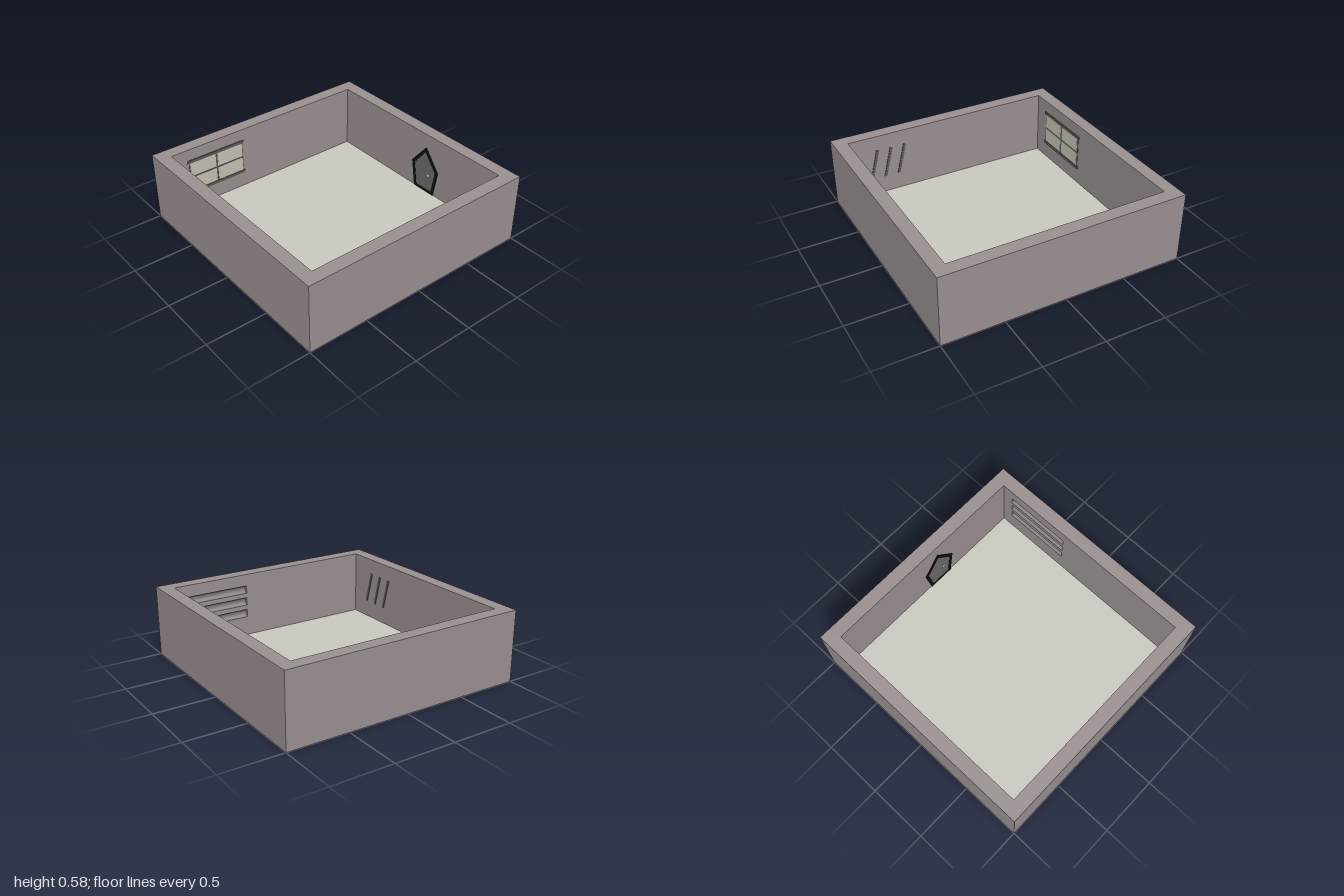
import * as THREE from 'three';

const H = 0.58, IN = 0.89, FLOOR = 0.044, T = 0.006;
const mat = (color) => new THREE.MeshStandardMaterial({ color, flatShading: true });
const wallMat = mat(0x998f8f), floorMat = mat(0xc8c8c0), frameMat = mat(0x5c5a58);
const paneMat = mat(0xc4c0b4), blackMat = mat(0x101010), doorMat = mat(0x686866);
const grooveMat = new THREE.MeshStandardMaterial({ color: 0x858080, side: THREE.DoubleSide });

function add(parent, name, geometry, material, x = 0, y = 0, z = 0) {
  const mesh = new THREE.Mesh(geometry, material);
  mesh.name = name;
  mesh.position.set(x, y, z);
  parent.add(mesh);
  return mesh;
}

const polygon = (points) => new THREE.Shape(points.map(([x, y]) => new THREE.Vector2(x, y)));
const rect = (x0, y0, x1, y1) => polygon([[x0, y0], [x1, y0], [x1, y1], [x0, y1]]);
const extrude = (shape, depth) => new THREE.ExtrudeGeometry(shape, { depth, bevelEnabled: false });

function group(parent, name, x, z, turn) {
  const g = new THREE.Group();
  g.name = name;
  g.position.set(x, 0, z);
  g.rotation.y = turn;
  parent.add(g);
  return g;
}

export function createModel() {
  const model = new THREE.Group();
  model.name = 'room';

  // Outer walls; the front one is thinner to take the grooved panel
  const ring = rect(-1, -1, 1, 1);
  ring.holes.push(rect(-IN, -0.92, IN, IN));
  add(model, 'walls', extrude(ring, H).rotateX(-Math.PI / 2), wallMat);
  add(model, 'base', new THREE.BoxGeometry(1.9, 0.02, 1.9), wallMat, 0, 0.01, 0);
  add(model, 'floor', new THREE.BoxGeometry(IN * 2, FLOOR - 0.02, IN * 2), floorMat, 0, (FLOOR + 0.02) / 2, 0);

  // Front wall lining with three rounded horizontal grooves
  const panel = rect(-IN, 0.02, IN, H);
  const r = 0.0325, x0 = 0.24, x1 = 0.8;
  for (const y of [0.4475, 0.3425, 0.2375]) {
    panel.holes.push(rect(x0, y - r, x1, y + r));
    const groove = new THREE.CylinderGeometry(r, r, x1 - x0, 16, 1, true, -Math.PI / 2, Math.PI);
    groove.rotateZ(Math.PI / 2).scale(1, 1, 0.85);
    add(model, 'wallGroove', groove, grooveMat, (x0 + x1) / 2, y, IN);
  }
  add(model, 'frontWallLining', extrude(panel, 0.03), wallMat, 0, 0, IN);

  // Four-pane window on the back wall
  const win = group(model, 'window', -0.495, -IN, 0);
  add(win, 'windowFrame', new THREE.BoxGeometry(0.51, 0.29, T / 2), frameMat, 0, 0.33, T / 4);
  for (const sx of [-1, 1]) for (const sy of [-1, 1])
    add(win, 'pane', new THREE.BoxGeometry(0.238, 0.122, T), paneMat, sx * 0.127, 0.33 + sy * 0.068, T / 2);
  for (const y of [0.47, 0.187])
    add(win, 'windowRail', new THREE.BoxGeometry(0.53, 0.025, T * 1.5), frameMat, 0, y, T * 0.75);

  // Pointed door on the left wall
  const door = group(model, 'door', IN, 0.12, -Math.PI / 2);
  const outer = [[-0.11, FLOOR], [0.11, FLOOR], [0.15, 0.275], [0, 0.46], [-0.15, 0.275]];
  const inner = [[-0.085, FLOOR + 0.02], [0.085, FLOOR + 0.02], [0.12, 0.265], [0, 0.415], [-0.12, 0.265]];
  const frame = polygon(outer);
  frame.holes.push(polygon(inner));
  add(door, 'doorFrame', extrude(frame, T), blackMat);
  add(door, 'doorLeaf', extrude(polygon(inner), T / 2), doorMat);
  add(door, 'doorKnob', new THREE.SphereGeometry(0.014, 12, 8).scale(1, 1, 0.5), paneMat, 0.045, 0.205, T / 2);

  // Slanted upright bars on the right wall
  const bars = group(model, 'wallBars', -IN, 0.53, Math.PI / 2);
  for (const x of [-0.12, 0, 0.12])
    add(bars, 'wallBar', new THREE.BoxGeometry(0.022, 0.27, T), frameMat, x - 0.03, 0.32, T / 2).rotation.z = -0.25;

  return model;
}
